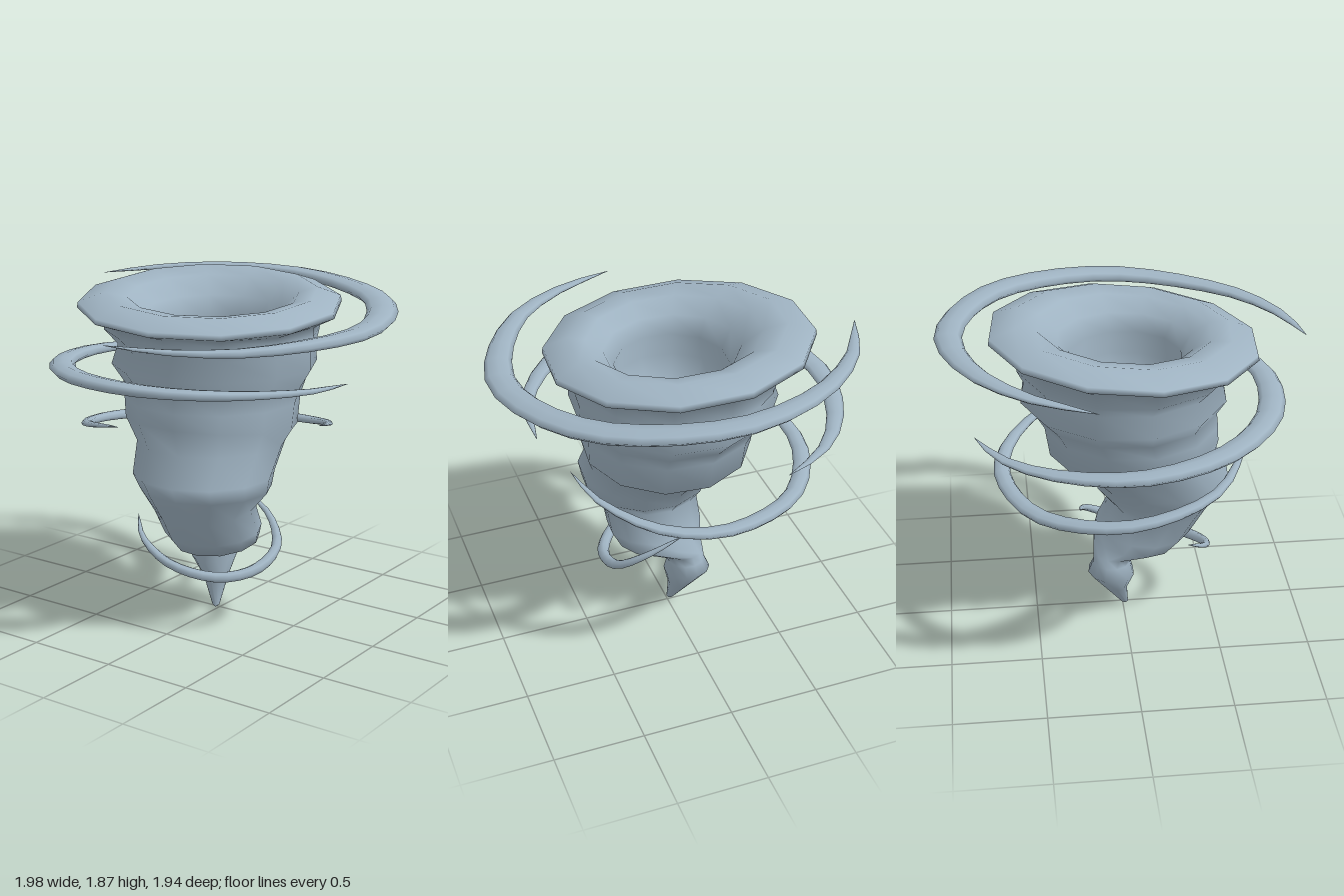
import * as THREE from 'three';

// Skin a list of closed rings (each an array of Vector3) with smooth normals
function loft(rings) {
  const n = rings[0].length, pos = [], idx = [];
  for (const ring of rings) for (const p of ring) pos.push(p.x, p.y, p.z);
  for (let i = 0; i < rings.length - 1; i++) {
    for (let j = 0; j < n; j++) {
      const a = i * n + j, b = i * n + (j + 1) % n;
      idx.push(a, b, a + n, b, b + n, a + n);
    }
  }
  const g = new THREE.BufferGeometry();
  g.setAttribute('position', new THREE.Float32BufferAttribute(pos, 3));
  g.setIndex(idx);
  g.computeVertexNormals();
  return g;
}

// Tilted twelve-sided ring of the funnel
function funnelRing([y, x, z, r, slopeX = 0, slopeZ = 0]) {
  const ring = [];
  for (let j = 0; j < 12; j++) {
    const a = THREE.MathUtils.degToRad(10 + 30 * j);
    const dx = r * 1.015 * Math.cos(a), dz = -r * 1.015 * Math.sin(a);
    ring.push(new THREE.Vector3(x + dx, y + slopeX * dx + slopeZ * dz, z + dz));
  }
  return ring;
}

// Curved streak: half width w, half height h, pointed at both ends
function streak(points, w, h, segments = 24) {
  const curve = new THREE.CatmullRomCurve3(points);
  const up = new THREE.Vector3(0, 1, 0), rings = [];
  for (let i = 0; i <= segments; i++) {
    const t = i / segments;
    const p = curve.getPointAt(t), dir = curve.getTangentAt(t);
    const side = up.clone().cross(dir).normalize();
    const top = dir.clone().cross(side);
    const s = Math.max(0.02, Math.pow(Math.max(0, Math.sin(Math.PI * t)), 0.65));
    const ring = [];
    for (let j = 0; j < 8; j++) {
      const a = j / 8 * Math.PI * 2;
      ring.push(p.clone().addScaledVector(side, Math.cos(a) * w * s).addScaledVector(top, Math.sin(a) * h * s));
    }
    rings.push(ring);
  }
  return loft(rings);
}

// Points from [degrees, radius, y], turning from +x towards -z
const polar = (list, height, cz = 0) => list.map(([deg, r, y]) => {
  const a = THREE.MathUtils.degToRad(deg), x = r * Math.cos(a), z = cz - r * Math.sin(a);
  return new THREE.Vector3(x, y ?? height(x, z), z);
});

export function createModel() {
  const group = new THREE.Group();
  const storm = new THREE.MeshStandardMaterial({ color: 0x9fb3c2 });
  storm.name = 'storm grey blue';
  const add = (name, geometry) => {
    const mesh = new THREE.Mesh(geometry, storm);
    mesh.name = name;
    group.add(mesh);
  };

  // Funnel from the tip, up the outside, over the rim and down the throat:
  // y, centre x, centre z, radius, slope along x, slope along z
  add('funnel', loft([
    [0.005, -0.015, -0.02, 0.001],
    [0.02, -0.01, -0.02, 0.02],
    [0.17, 0.05, -0.06, 0.07, 0.1],
    [0.29, 0.075, -0.09, 0.13, 0.08],
    [0.36, 0.07, -0.085, 0.105],
    [0.41, 0.06, -0.07, 0.115, 0.1],
    [0.445, -0.07, 0.03, 0.235, 0.14],
    [0.52, -0.12, 0.04, 0.265, 0.1],
    [0.67, -0.205, 0.045, 0.27, 0.12],
    [0.79, -0.215, 0.06, 0.355],
    [0.87, -0.22, 0.05, 0.38],
    [1.03, -0.1, 0.02, 0.405, 0.02],
    [1.12, -0.06, -0.01, 0.465, -0.09],
    [1.25, -0.045, -0.015, 0.475],
    [1.34, -0.015, -0.02, 0.495],
    [1.43, 0, -0.035, 0.555],
    [1.54, 0, -0.015, 0.535],
    [1.62, -0.012, -0.04, 0.58],
    [1.68, -0.012, -0.04, 0.58, 0.04, -0.03],
    [1.745, 0, -0.065, 0.71, 0.075, -0.05],
    [1.775, 0, -0.065, 0.705, 0.08, -0.05],
    [1.825, 0, -0.055, 0.57, 0.08, -0.05],
    [1.80, -0.005, -0.04, 0.46, 0.07, -0.04],
    [1.72, -0.01, -0.03, 0.36, 0.04, -0.03],
    [1.62, -0.01, -0.03, 0.305],
    [1.48, -0.01, -0.03, 0.33],
    [1.34, -0.01, -0.03, 0.26],
    [1.25, -0.01, -0.03, 0.2],
    [1.15, -0.01, -0.03, 0.23],
    [1.06, -0.01, -0.03, 0.14],
    [1.03, -0.01, -0.03, 0.001],
  ].map(funnelRing)));

  // Four wind streaks circling the funnel
  add('topStreak', streak(polar([
    [180, 0.99], [200, 0.955], [225, 0.92], [270, 0.89], [315, 0.88],
    [360, 0.91], [390, 0.94], [415, 0.965], [438, 1.0],
  ], (x, z) => 1.745 + 0.06 * x - 0.055 * z), 0.085, 0.036));

  add('upperStreak', streak(polar([
    [24, 0.88], [42, 0.9], [62, 0.9], [90, 0.9], [120, 0.87], [150, 0.83],
    [180, 0.79], [202, 0.77], [225, 0.75], [252, 0.75], [277, 0.76],
  ], x => 1.395 - 0.04 * x), 0.073, 0.034));

  add('middleStreak', streak(polar([
    [-82, 0.67, 1.14], [-60, 0.67, 1.09], [-30, 0.67, 1.02], [0, 0.67, 0.985],
    [40, 0.67, 0.975], [70, 0.67, 1.0], [95, 0.67, 1.03], [130, 0.67, 1.09], [172, 0.68, 1.18],
  ], null, -0.08), 0.05, 0.03));

  add('lowerStreak', streak([
    [0.24, 0.65, 0], [0.2, 0.54, 0.2], [0.08, 0.42, 0.33], [-0.15, 0.345, 0.34],
    [-0.35, 0.335, 0.22], [-0.465, 0.4, 0], [-0.44, 0.5, -0.2], [-0.33, 0.59, -0.32],
  ].map(p => new THREE.Vector3(...p)), 0.034, 0.03));

  return group;
}
